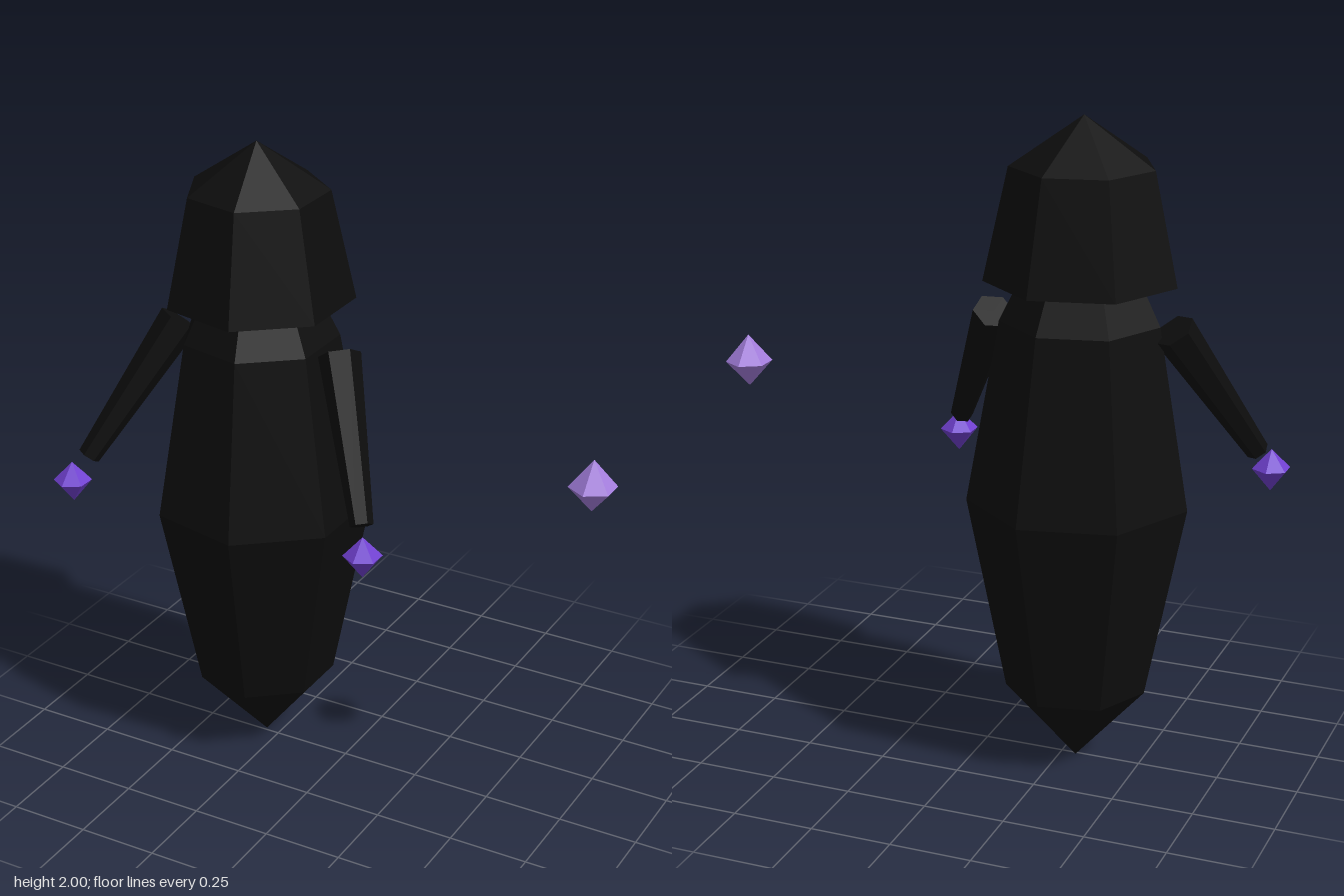
import * as THREE from 'three';

const material = (name, color) => {
  const m = new THREE.MeshStandardMaterial({ color, flatShading: true });
  m.name = name;
  return m;
};

export function createModel() {
  const black = material('black cloth', 0x0d0d0d);
  const violet = material('deep violet', 0x7040d0);
  const lilac = material('pale lilac', 0xa37ddc);

  const model = new THREE.Group();
  model.name = 'floatingRobedFigure';
  const figure = new THREE.Group();
  figure.name = 'figure';
  figure.position.set(-0.298, 0, -0.01);
  model.add(figure);

  const add = (parent, name, geometry, mat) => {
    const mesh = new THREE.Mesh(geometry, mat);
    mesh.name = name;
    parent.add(mesh);
    return mesh;
  };

  // Faceted solid of revolution, profile listed from bottom to top
  const faceted = (profile, sides, start) =>
    new THREE.LatheGeometry(profile.map(([r, y]) => new THREE.Vector2(r, y)), sides, start).toNonIndexed();

  // Seven-sided robe tapering to points at both ends
  add(figure, 'robe', faceted(
    [[0, 0], [0.217, 0.245], [0.337, 0.85], [0.241, 1.4], [0, 1.89]], 7, -Math.PI / 2), black);

  // Hood with a closed underside
  add(figure, 'hood', faceted(
    [[0, 1.52], [0.289, 1.52], [0.216, 1.855], [0, 2]], 7, -Math.PI / 2), black);

  // Six-sided double-pointed crystal
  const crystal = (parent, name, mat, r, up, down, x, y, z) =>
    add(parent, name, faceted([[0, -down], [r, 0], [0, up]], 6, 0), mat).position.set(x, y, z);

  // Arms reaching out and forward, each with a crystal at its end
  for (const [side, s] of [['left', 1], ['right', -1]]) {
    const shoulder = new THREE.Vector3(s * 0.278, 1.392, 0.01);
    const wrist = new THREE.Vector3(s * 0.478, 0.98, 0.24);
    const axis = shoulder.clone().sub(wrist);
    const arm = add(figure, side + 'Arm',
      new THREE.CylinderGeometry(0.064, 0.035, axis.length(), 6), black);
    arm.position.addVectors(shoulder, wrist).multiplyScalar(0.5);
    arm.quaternion.setFromUnitVectors(new THREE.Vector3(0, 1, 0), axis.normalize());
    crystal(figure, side + 'HandCrystal', violet, 0.059, 0.06, 0.072, s * 0.508, 0.913, 0.29);
  }

  // Loose crystal hovering beside the figure
  crystal(model, 'floatingCrystal', lilac, 0.072, 0.085, 0.079, 0.795, 1.15, -0.012);

  return model;
}
